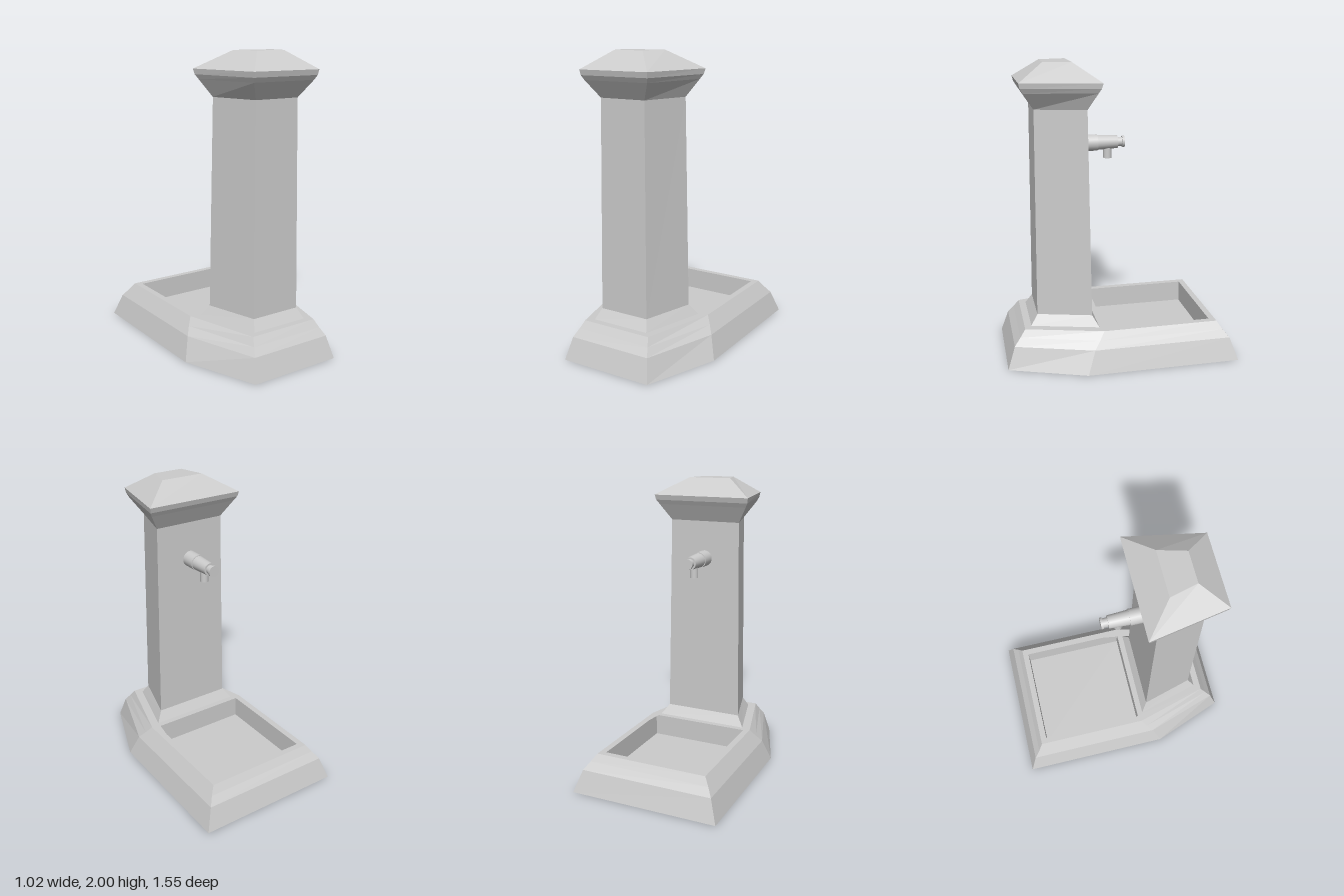
import * as THREE from 'three';

const material = new THREE.MeshStandardMaterial({ color: 0xcccccc });
const flatMaterial = new THREE.MeshStandardMaterial({ color: 0xcccccc, flatShading: true });

// One half of a level ring, listed front to back as [x, z], mirrored to the other side.
function ring(y, half) {
  const right = half.map(([x, z]) => new THREE.Vector3(x, y, z));
  const left = half.map(([x, z]) => new THREE.Vector3(-x, y, z)).reverse();
  return [...right, ...left];
}

// Skins a list of rings and closes both ends.
function loft(name, sections) {
  const rings = sections.map(([y, ...half]) => ring(y, half));
  const n = rings[0].length;
  const pos = [];
  const tri = (...pts) => pts.forEach((p) => pos.push(p.x, p.y, p.z));
  for (let i = 0; i < rings.length - 1; i++) {
    for (let j = 0; j < n; j++) {
      const k = (j + 1) % n;
      const a = rings[i][j], b = rings[i][k], c = rings[i + 1][k], d = rings[i + 1][j];
      tri(a, b, c);
      tri(a, c, d);
    }
  }
  const first = rings[0], last = rings[rings.length - 1];
  for (let j = 1; j < n - 1; j++) {
    tri(first[0], first[j + 1], first[j]);
    tri(last[0], last[j], last[j + 1]);
  }
  const geo = new THREE.BufferGeometry();
  geo.setAttribute('position', new THREE.Float32BufferAttribute(pos, 3));
  geo.computeVertexNormals();
  const mesh = new THREE.Mesh(geo, flatMaterial);
  mesh.name = name;
  return mesh;
}

// Round tap piece standing along y from 0 to length.
function round(name, rStart, rEnd, length) {
  const geo = new THREE.CylinderGeometry(rEnd, rStart, length, 24);
  geo.translate(0, length / 2, 0);
  const mesh = new THREE.Mesh(geo, material);
  mesh.name = name;
  return mesh;
}

export function createModel() {
  const model = new THREE.Group();
  model.name = 'fountain';

  // Six-sided base: moulded sides, flat rim, then down into the basin
  model.add(loft('baseWithBasin', [
    [0, [0.325, 0.775], [0.512, 0.265], [0.512, -0.775]],
    [0.15, [0.293, 0.725], [0.46, 0.21], [0.46, -0.725]],
    [0.2, [0.27, 0.685], [0.425, 0.17], [0.425, -0.685]],
    [0.25, [0.25, 0.648], [0.39, 0.135], [0.39, -0.652]],
    [0.25, [0.347, 0.115], [0.347, 0], [0.347, -0.61]],
    [0.1, [0.347, 0.115], [0.347, 0], [0.347, -0.61]],
  ]));

  // Tapered pillar with a flared foot
  model.add(loft('pillar', [
    [0.25, [0.205, 0.602], [0.325, 0.155]],
    [0.32, [0.176, 0.556], [0.275, 0.196]],
    [1.71, [0.163, 0.54], [0.252, 0.21]],
  ]));

  // Cap: flared underside, thin rim, sloped roof with a flat top
  model.add(loft('cap', [
    [1.71, [0.163, 0.54], [0.252, 0.21]],
    [1.82, [0.232, 0.612], [0.32, 0.152]],
    [1.85, [0.245, 0.63], [0.338, 0.135]],
    [1.885, [0.25, 0.638], [0.345, 0.125]],
    [2, [0.105, 0.47], [0.153, 0.29]],
  ]));

  // Tap reaching back over the basin
  const tap = new THREE.Group();
  tap.name = 'tap';
  const pieces = [
    ['tapCollar', 0.055, 0.055, 0.23, 0.103],
    ['tapBody', 0.05, 0.043, 0.103, -0.035],
    ['tapNeck', 0.031, 0.031, -0.035, -0.068],
    ['tapKnob', 0.038, 0.038, -0.068, -0.083],
  ];
  for (const [name, r0, r1, z0, z1] of pieces) {
    const piece = round(name, r0, r1, z0 - z1);
    piece.rotation.x = -Math.PI / 2;
    piece.position.set(0, 1.452, z0);
    tap.add(piece);
  }
  const spout = round('tapSpout', 0.028, 0.028, 0.09);
  spout.position.set(0, 1.345, 0.032);
  tap.add(spout);
  model.add(tap);

  return model;
}
